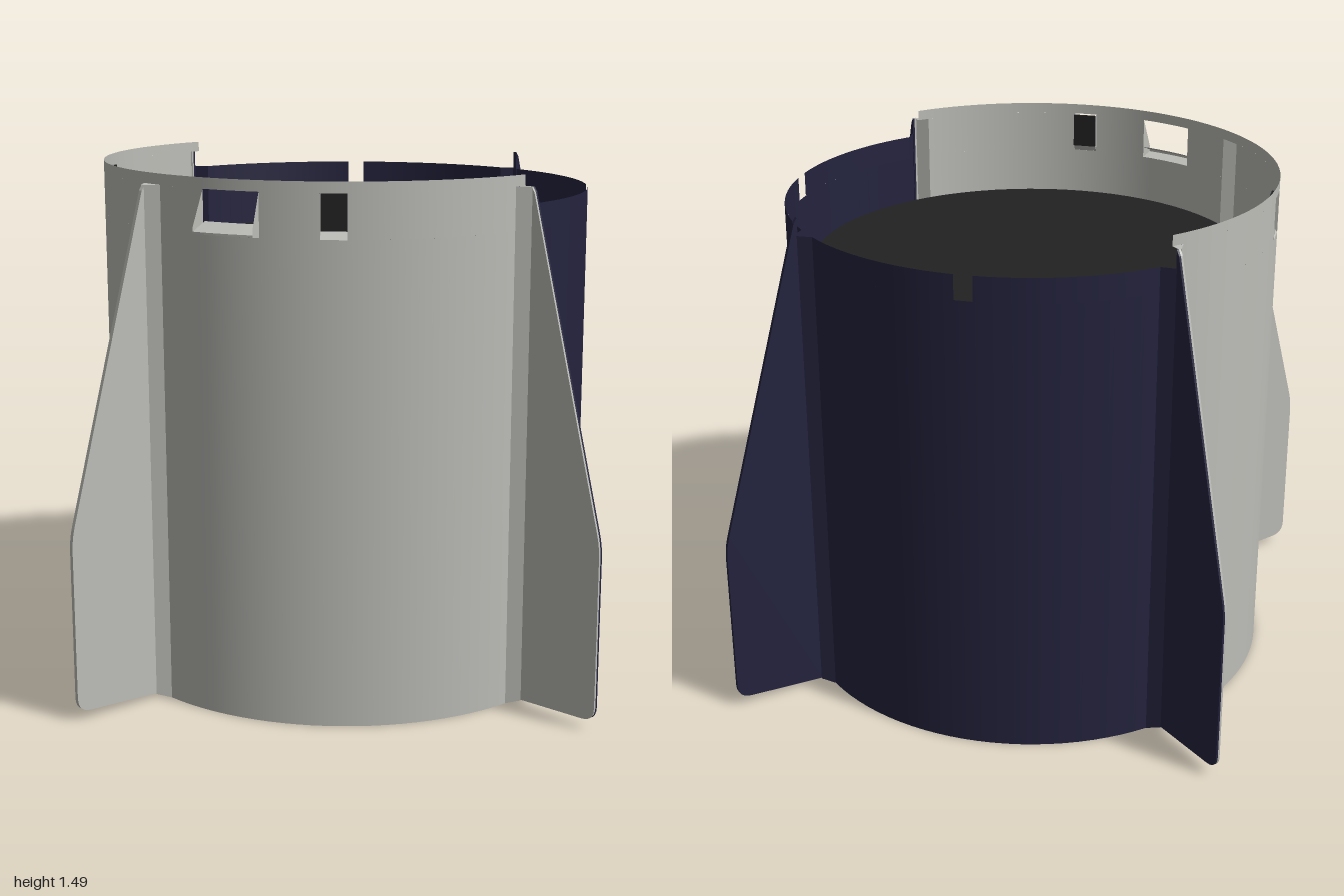
import * as THREE from 'three';

const R = 0.704;          // shell radius
const GAP = 0.05;         // half angle of the channel behind each fin
const HALF = Math.PI / 2;
const LATCH = Math.PI / 4;

export function createModel() {
  const mat = (name, color) => {
    const m = new THREE.MeshStandardMaterial({ color, side: THREE.DoubleSide });
    m.name = name;
    return m;
  };
  const grey = mat('light grey', 0xbdbdb8);
  const navy = mat('navy', 0x24233e);
  const black = mat('black', 0x222222);

  const model = new THREE.Group();
  const group = (name, parent = model) => {
    const g = new THREE.Group();
    g.name = name;
    parent.add(g);
    return g;
  };
  const add = (parent, name, geometry, material) => {
    const m = new THREE.Mesh(geometry, material);
    m.name = name;
    parent.add(m);
    return m;
  };

  // curved piece of shell between two angles and two heights
  const wall = (parent, name, material, a0, a1, y0, y1) => {
    const n = Math.max(1, Math.ceil((a1 - a0) / 0.06));
    const g = new THREE.CylinderGeometry(R, R, y1 - y0, n, 1, true, a0, a1 - a0);
    add(parent, name, g, material).position.y = (y0 + y1) / 2;
  };

  // flat-shaded sheet joining two rows of points
  const sheet = (parent, name, material, a, b) => {
    const v = [];
    for (let i = 0; i < a.length - 1; i++) {
      v.push(...a[i], ...b[i], ...b[i + 1], ...a[i], ...b[i + 1], ...a[i + 1]);
    }
    const g = new THREE.BufferGeometry();
    g.setAttribute('position', new THREE.Float32BufferAttribute(v, 3));
    g.computeVertexNormals();
    return add(parent, name, g, material);
  };
  const polar = (r, a, y) => [r * Math.sin(a), y, r * Math.cos(a)];

  // front half shell: lower wall, band with openings, rim
  const holes = [[-LATCH - 0.05, -LATCH + 0.05], [0.27, 0.505], [LATCH - 0.05, LATCH + 0.05]];
  const front = group('frontShell');
  wall(front, 'lowerWall', grey, -HALF + GAP, -GAP, 0, 1.335);
  wall(front, 'lowerWall', grey, GAP, HALF - GAP, 0, 1.335);
  const cuts = [-HALF + GAP, ...holes[0], -GAP, GAP, ...holes[1], ...holes[2], HALF - GAP];
  for (let i = 0; i < cuts.length; i += 2) {
    wall(front, 'openingBand', grey, cuts[i], cuts[i + 1], 1.335, 1.455);
  }
  wall(front, 'rim', grey, -HALF, HALF, 1.455, 1.485);

  // back half shell with two notches in its upper edge
  const back = group('backShell');
  for (const start of [HALF, Math.PI]) {
    const a0 = start + GAP, a1 = start + HALF - GAP, mid = start + LATCH;
    wall(back, 'lowerWall', navy, a0, a1, 0, 1.335);
    wall(back, 'notchedBand', navy, a0, mid - 0.036, 1.335, 1.405);
    wall(back, 'notchedBand', navy, mid + 0.036, a1, 1.335, 1.405);
  }

  // inner deck
  const deck = add(model, 'innerDeck', new THREE.CircleGeometry(0.635, 72), black);
  deck.rotation.x = -HALF;
  deck.position.y = 1.22;

  // fin outline: x runs outward
  const outline = new THREE.Shape();
  outline.moveTo(0.732, 0.012);
  outline.lineTo(0.955, 0.026);
  outline.quadraticCurveTo(1, 0.028, 1, 0.07);
  outline.lineTo(1, 0.49);
  outline.quadraticCurveTo(1, 0.525, 0.99, 0.56);
  outline.lineTo(0.742, 1.44);
  outline.lineTo(0.732, 1.455);
  outline.closePath();

  // each fin is two half-thickness skins with a sloped root fairing
  const fin = (name, angle, leftMat, rightMat) => {
    const g = group(name);
    g.rotation.y = angle - HALF;
    for (const [side, m] of [[1, leftMat], [-1, rightMat]]) {
      const skin = new THREE.ExtrudeGeometry(outline, { depth: 0.006, bevelEnabled: false, curveSegments: 6 });
      if (side < 0) skin.translate(0, 0, -0.006);
      add(g, 'finSkin', skin, m);
      const top = m === grey ? 1.455 : 1.405;
      const rootX = R * Math.cos(GAP), rootZ = side * R * Math.sin(GAP), z = side * 0.006;
      sheet(g, 'rootFairing', m,
        [[rootX, 0, rootZ], [0.735, 0.01, z]],
        [[rootX, top, rootZ], [0.735, top, z]]);
      if (m === grey) {
        sheet(g, 'fairingCap', m,
          [[rootX, top, rootZ], [0.735, top, z]],
          [[R, top, 0], [0.735, top, 0]]);
      }
    }
  };
  fin('leftFin', HALF, grey, navy);
  fin('rightFin', -HALF, navy, grey);
  fin('frontFin', 0, grey, grey);
  fin('backFin', Math.PI, navy, navy);

  // recessed latches: black plate in a grey pocket with a sloped floor
  for (const s of [-1, 1]) {
    const latch = group('latch');
    latch.rotation.y = s * LATCH;
    const w = 0.035, zo = R, zi = 0.686;
    const plate = add(latch, 'latchPlate', new THREE.BoxGeometry(2 * w, 0.1, 0.006), black);
    plate.position.set(0, 1.405, zi);
    sheet(latch, 'pocketFloor', grey,
      [[-w, 1.335, zo], [w, 1.335, zo]], [[-w, 1.358, zi], [w, 1.358, zi]]);
    for (const x of [-w, w]) {
      sheet(latch, 'pocketSide', grey,
        [[x, 1.335, zo], [x, 1.358, zi]], [[x, 1.455, zo], [x, 1.455, zi]]);
    }
  }

  // scoop around the wide opening
  const scoop = group('scoop');
  const [s0, s1] = holes[1];
  const arc = (r, y) => Array.from({ length: 6 }, (_, i) => polar(r, s0 + (s1 - s0) * i / 5, y));
  sheet(scoop, 'scoopFloor', grey, arc(0.75, 1.348), arc(0.697, 1.37));
  sheet(scoop, 'scoopUnderside', grey, arc(R, 1.335), arc(0.75, 1.342));
  sheet(scoop, 'scoopLip', grey, arc(0.75, 1.342), arc(0.75, 1.348));
  for (const a of [s0, s1]) {
    sheet(scoop, 'scoopSide', grey,
      [polar(R, a, 1.335), polar(0.75, a, 1.342)],
      [polar(R, a, 1.455), polar(0.75, a, 1.36)]);
  }
  return model;
}
